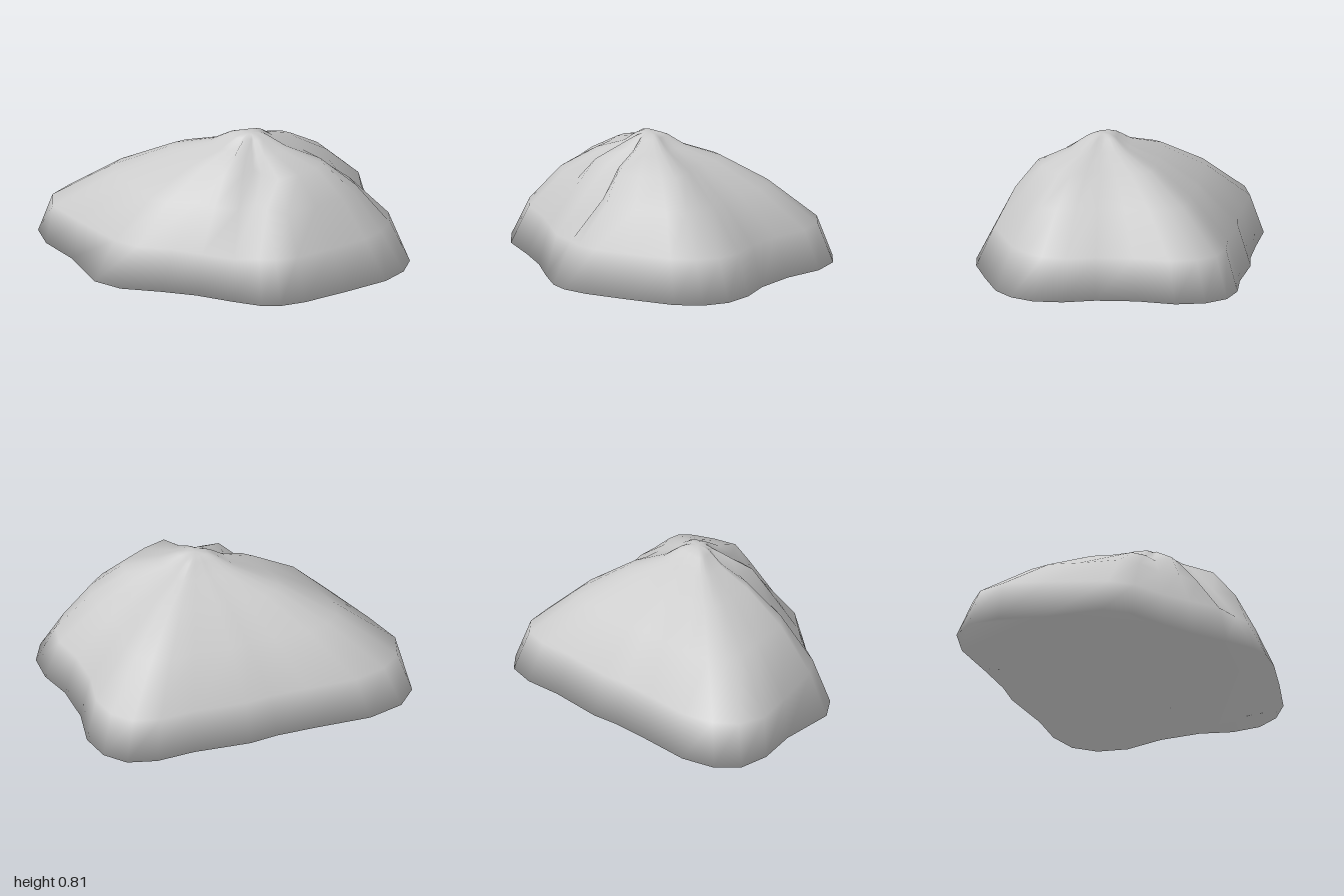
import * as THREE from 'three';

// Ground outline [x, z], running back, right, front, left
const rim = [
  [-0.15, -1], [0.03, -0.97], [0.23, -0.84], [0.46, -0.755], [0.66, -0.735], [0.82, -0.665],
  [0.92, -0.54], [0.965, -0.37], [0.945, -0.08], [0.915, 0.2], [0.87, 0.35], [0.8, 0.44],
  [0.64, 0.54], [0.44, 0.65], [0.27, 0.78], [0.08, 0.945], [-0.1, 1], [-0.45, 0.9],
  [-0.72, 0.88], [-0.9, 0.8], [-0.97, 0.65], [-0.94, 0.43], [-0.8, 0.13], [-0.7, -0.1],
  [-0.65, -0.27], [-0.49, -0.58], [-0.41, -0.8], [-0.3, -0.945],
];
const peak = { x: 0.18, y: 0.81, z: 0.04 };

// Height of each level and its scale towards the peak
const heights = [0, 0.245, 0.485, 0.65, 0.725, 0.79, 0.808];
const scales = [1, 0.915, 0.645, 0.385, 0.19, 0.1, 0.055];

// Local swellings and hollows: direction and width in degrees, change of scale per level
const features = [
  { name: 'right shoulder', angle: 4, width: 36, change: [0, -0.07, 0.05, 0.14, 0.08, 0.03, 0.02] },
  { name: 'back right shoulder', angle: -32, width: 34, change: [0, -0.07, 0.03, 0.1, 0.06, 0.02, 0] },
  { name: 'right gully', angle: 33, width: 20, change: [0, -0.09, -0.2, -0.13, -0.05, -0.01, 0] },
  { name: 'front right rib', angle: 62, width: 22, change: [0, 0, 0.02, 0.12, 0.12, 0.03, 0] },
  { name: 'front gully', angle: 86, width: 17, change: [0, -0.01, -0.05, -0.05, -0.03, -0.01, 0] },
  { name: 'front foot', angle: 102, width: 50, change: [0, -0.045, 0, 0, 0, 0, 0] },
  { name: 'front left bulge', angle: 130, width: 22, change: [0, 0.08, 0.03, 0, 0, 0, 0] },
];

// Smooth bump around a direction
function bump(angle, center, width) {
  const d = Math.abs(angle - center) / width;
  return d < 1 ? 0.5 + 0.5 * Math.cos(Math.PI * d) : 0;
}

function createMound() {
  const n = rim.length;
  const top = heights.length - 1;
  const positions = [];
  const slopes = [];

  heights.forEach((y, k) => {
    for (const [x, z] of rim) {
      const dx = x - peak.x;
      const dz = z - peak.z;
      const angle = THREE.MathUtils.radToDeg(Math.atan2(dz, dx));
      let s = scales[k];
      for (const f of features) s += f.change[k] * bump(angle, f.angle, f.width);
      positions.push(peak.x + dx * s, y, peak.z + dz * s);
    }
  });
  positions.push(peak.x, peak.y, peak.z);

  for (let i = 0; i < n; i++) {
    const j = (i + 1) % n;
    for (let k = 0; k < top; k++) {
      const a = k * n + i;
      const b = k * n + j;
      slopes.push(a, a + n, b, b, a + n, b + n);
    }
    // Summit
    slopes.push(top * n + i, heights.length * n, top * n + j);
  }

  // Flat underside
  const outline = rim.map(([x, z]) => new THREE.Vector2(x, z));
  const underside = THREE.ShapeUtils.triangulateShape(outline, []).flat();

  const geometry = new THREE.BufferGeometry();
  geometry.setAttribute('position', new THREE.Float32BufferAttribute(positions, 3));
  geometry.setIndex(slopes);
  geometry.computeVertexNormals();

  // Round the shading over the ground edge into the underside
  const normals = geometry.attributes.normal;
  const normal = new THREE.Vector3();
  for (let i = 0; i < n; i++) {
    normal.fromBufferAttribute(normals, i);
    normal.y -= 1;
    normal.normalize();
    normals.setXYZ(i, normal.x, normal.y, normal.z);
  }
  geometry.setIndex([...slopes, ...underside]);
  return geometry;
}

export function createModel() {
  const group = new THREE.Group();
  group.name = 'rock';
  const material = new THREE.MeshStandardMaterial({ color: 0xcccccc, side: THREE.DoubleSide });
  const mound = new THREE.Mesh(createMound(), material);
  mound.name = 'rockMound';
  group.add(mound);
  return group;
}
